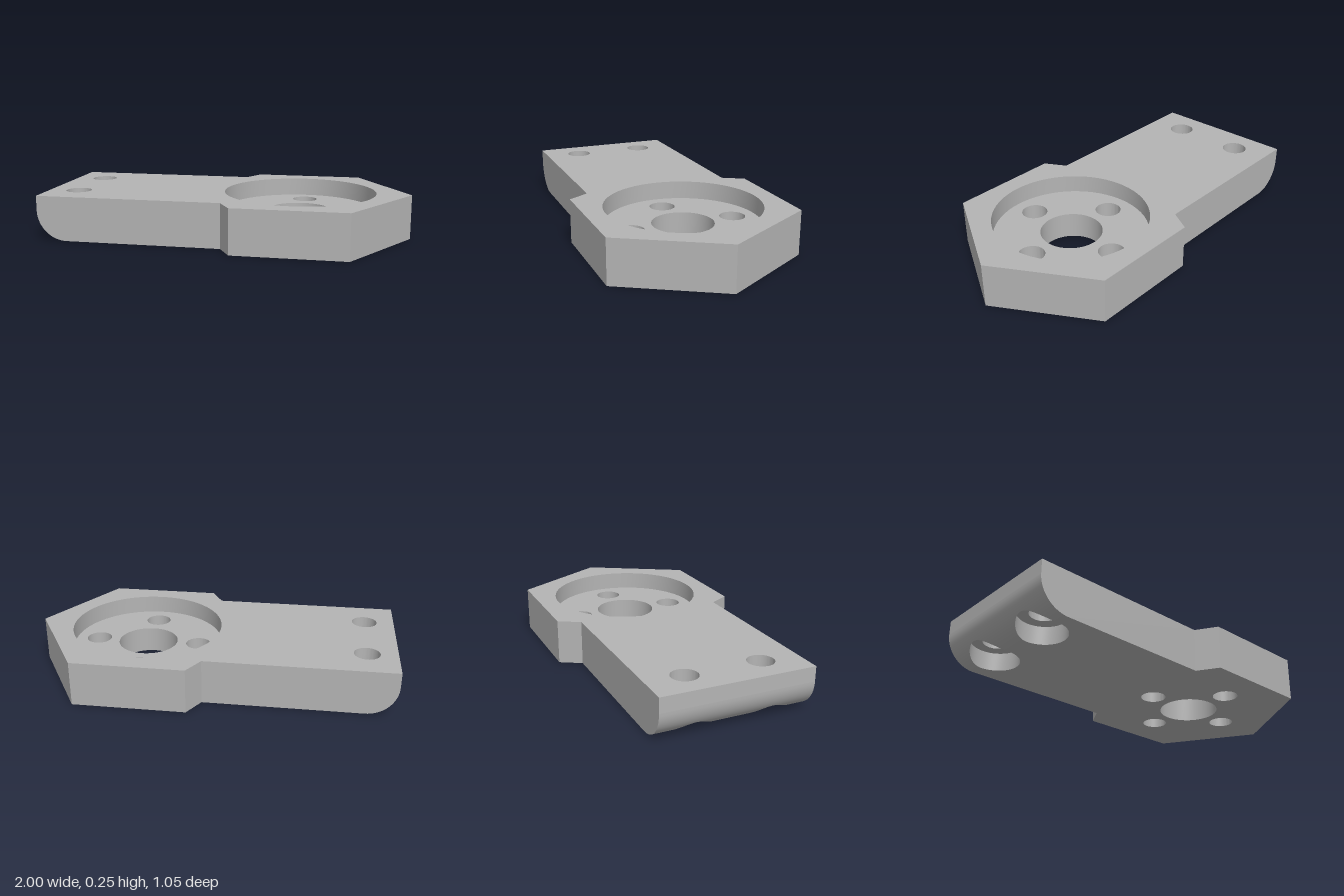
import * as THREE from 'three';
import { mergeGeometries, toCreasedNormals } from 'three/addons/utils/BufferGeometryUtils.js';

const TOP = 0.245, FLOOR = 0.145, LEDGE = 0.1;        // heights
const HUB = 0.39, RECESS = 0.42, CENTRE = 0.167, BOLT = 0.07;
const END = -0.835, ROUND = 0.165, BORE = 0.13, BORE_Z = 0.205; // rounded end and counterbores
const HALF = 0.41, QUARTER = 16;

const p2 = (x, z) => new THREE.Vector2(x, z);

// Underside height: flat, then a quarter round at the -x end
const under = (x) => x >= END ? 0 : ROUND - Math.sqrt(Math.max(0, ROUND ** 2 - (x - END) ** 2));

function circle(x, z, r) {
  return Array.from({ length: QUARTER * 4 }, (_, i) => {
    const t = i * Math.PI / 2 / QUARTER;
    return p2(x + r * Math.cos(t), z + r * Math.sin(t));
  });
}

function geometry(positions) {
  const g = new THREE.BufferGeometry();
  g.setAttribute('position', new THREE.Float32BufferAttribute(positions, 3));
  return g;
}

// Horizontal face with holes, facing up or down
function face(points, holes, y, up) {
  const flip = (list) => list.map((p) => p2(p.x, up ? -p.y : p.y));
  const shape = new THREE.Shape(flip(points));
  holes.forEach((h) => shape.holes.push(new THREE.Path(flip(h))));
  const g = new THREE.ShapeGeometry(shape).rotateX(up ? -Math.PI / 2 : Math.PI / 2).translate(0, y, 0);
  return geometry(g.toNonIndexed().attributes.position.array);
}

// Vertical wall along a closed loop; circles face inward, the outline outward
function wall(points, bottom, top) {
  const out = [];
  points.forEach((p, i) => {
    const q = points[(i + 1) % points.length];
    const a = [p.x, bottom(p.x), p.y], b = [q.x, bottom(q.x), q.y];
    const c = [q.x, top, q.y], d = [p.x, top, p.y];
    out.push(...a, ...b, ...c, ...a, ...c, ...d);
  });
  return geometry(out);
}

// Samples along the rounded end, shared with the counterbore rims
const endXs = [];
for (let i = 0; i <= QUARTER; i++) endXs.push(END - BORE * Math.sin(i * Math.PI / 2 / QUARTER));
const rimAngle = Math.asin(BORE / ROUND);
for (let i = 1; i <= 8; i++) {
  endXs.push(END - ROUND * Math.sin(rimAngle + (Math.PI / 2 - rimAngle) * i / 8));
}

// Quarter-round surface, made of strips between the counterbores
function roundedEnd() {
  const out = [];
  const cuts = (x) => {
    const h = Math.sqrt(Math.max(0, BORE ** 2 - (x - END) ** 2));
    return [-HALF, -BORE_Z - h, -BORE_Z + h, BORE_Z - h, BORE_Z + h, HALF];
  };
  for (let i = 0; i < endXs.length - 1; i++) {
    const x0 = endXs[i], x1 = endXs[i + 1], z0 = cuts(x0), z1 = cuts(x1);
    for (let k = 0; k < 6; k += 2) {
      const a = [x0, under(x0), z0[k]], b = [x0, under(x0), z0[k + 1]];
      const c = [x1, under(x1), z1[k + 1]], d = [x1, under(x1), z1[k]];
      out.push(...a, ...b, ...c, ...a, ...c, ...d);
    }
  }
  return geometry(out);
}

export function createModel() {
  const group = new THREE.Group();
  const metal = new THREE.MeshStandardMaterial({ color: 0xb4b4b4 });
  metal.name = 'grey metal';
  const add = (name, ...parts) => {
    const mesh = new THREE.Mesh(toCreasedNormals(mergeGeometries(parts), 0.5), metal);
    mesh.name = name;
    group.add(mesh);
  };

  const centre = circle(HUB, 0, CENTRE), recess = circle(HUB, 0, RECESS);
  const bolts = [[1, 0], [-1, 0], [0, 1], [0, -1]].map(([x, z]) => circle(HUB + x * 0.29, z * 0.29, BOLT));
  const mounts = [-BORE_Z, BORE_Z].map((z) => circle(END, z, BOLT));
  const bores = [-BORE_Z, BORE_Z].map((z) => circle(END, z, BORE));

  // Outline: hexagonal head running into a straight arm
  const head = [p2(0.695, -0.525), p2(0.085, -0.525), p2(0.019, -HALF)];
  const mirror = (list) => list.map((p) => p2(p.x, -p.y)).reverse();
  const side = [...head, ...endXs.map((x) => p2(x, -HALF))];
  const outline = [p2(1, 0), ...side, ...mirror(side)];

  // Flat underside, notched by the counterbores
  const notch = (z) => Array.from({ length: QUARTER * 2 + 1 }, (_, i) => {
    const t = (i / QUARTER - 1) * Math.PI / 2;
    return p2(END + BORE * Math.cos(t), z + BORE * Math.sin(t));
  });
  const base = [p2(1, 0), ...head, p2(END, -HALF), ...notch(-BORE_Z), ...notch(BORE_Z),
    p2(END, HALF), ...mirror(head)];

  add('plateTop', face(outline, [recess, ...mounts], TOP, true));
  add('plateSides', wall(outline, under, TOP));
  add('plateUnderside', face(base, [centre, ...bolts], 0, false), roundedEnd());
  add('roundRecess', wall(recess, () => FLOOR, TOP), face(recess, [centre, ...bolts], FLOOR, true));
  add('centreHole', wall(centre, () => 0, FLOOR));
  bolts.forEach((b) => add('boltHole', wall(b, () => 0, FLOOR)));
  mounts.forEach((m, i) => add('counterboredHole',
    wall(m, () => LEDGE, TOP), wall(bores[i], under, LEDGE), face(bores[i], [m], LEDGE, false)));
  return group;
}
